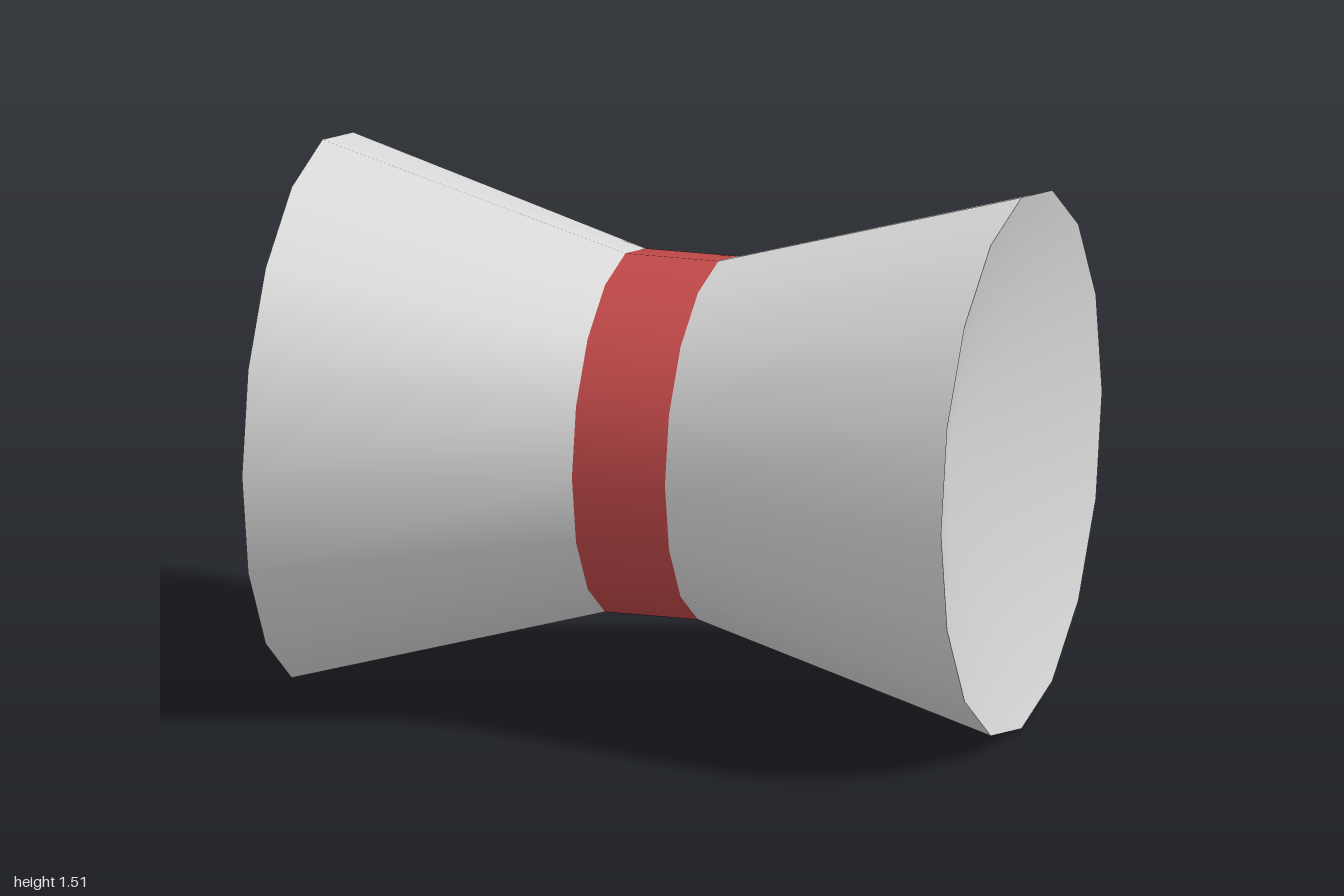
import * as THREE from 'three';

const SIDES = 16, RIM = 0.755, WAIST = 0.503, BAND = 0.133, DISH = 0.21;

export function createModel() {
  const shell = new THREE.MeshStandardMaterial({ color: 0xd8d8d8 });
  shell.name = 'pale grey shell';
  const red = new THREE.MeshStandardMaterial({ color: 0xc04848 });
  red.name = 'red band';

  const model = new THREE.Group();
  model.name = 'hourglassDrum';

  // Turned part: [radius, distance along axis] pairs
  const turned = (name, points, material, parent) => {
    const profile = points.map(([r, a]) => new THREE.Vector2(r, a));
    const mesh = new THREE.Mesh(new THREE.LatheGeometry(profile, SIDES), material);
    mesh.name = name;
    parent.add(mesh);
    return mesh;
  };

  // Two flared halves, each closed by a dished head
  for (const [side, s] of [['left', 1], ['right', -1]]) {
    const half = new THREE.Group();
    half.name = side + 'Half';
    turned(side + 'Flare', [[WAIST, BAND], [RIM, 1]], shell, half);
    const head = turned(side + 'Head', [[RIM, 1], [0, 1 - DISH]], shell, half);

    // Blend the shading at the centre of the dish
    const { position, normal } = head.geometry.attributes;
    for (let i = 0; i < position.count; i++) {
      if (position.getY(i) < 1 - DISH / 2) normal.setXYZ(i, 0, 1, 0);
    }
    half.rotation.z = -s * Math.PI / 2;
    half.position.y = RIM;
    model.add(half);
  }

  // Waist band
  const band = turned('waistBand', [[WAIST, -BAND], [WAIST, BAND]], red, model);
  band.rotation.z = -Math.PI / 2;
  band.position.y = RIM;

  return model;
}
